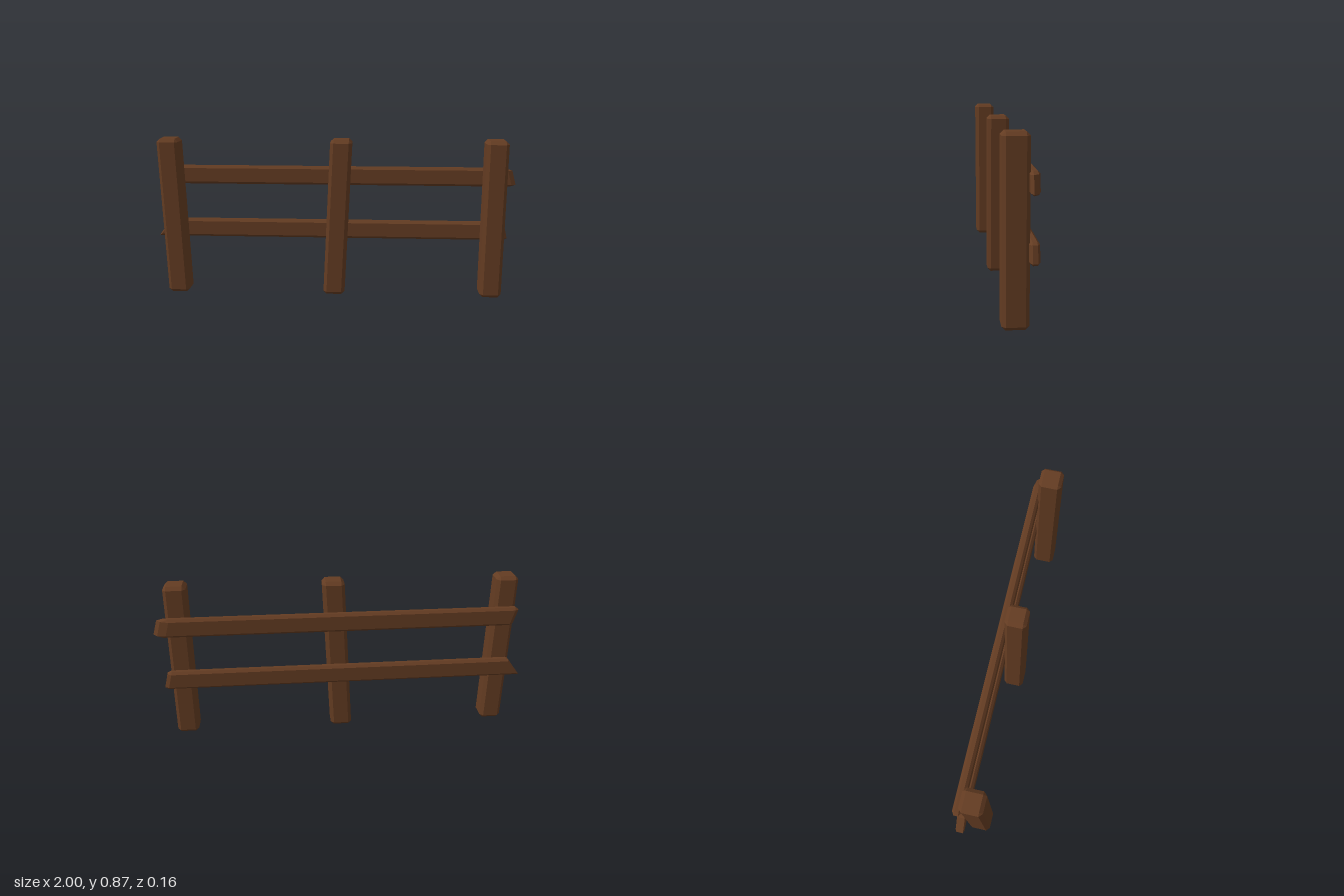
import * as THREE from 'three';

// Rectangle with cut corners, counter-clockwise, always eight points
function octagon(w, h, c) {
  const a = w / 2, b = h / 2;
  return [[a, -b + c], [a, b - c], [a - c, b], [-a + c, b],
    [-a, b - c], [-a, -b + c], [-a + c, -b], [a - c, -b]];
}

// Skin equal-length rings of Vector3 into a closed flat-shaded solid
function loft(rings) {
  const pos = [];
  const tri = (a, b, c) => {
    const area = b.clone().sub(a).cross(c.clone().sub(a)).length();
    if (area > 1e-8) for (const p of [a, b, c]) pos.push(p.x, p.y, p.z);
  };
  const n = rings[0].length, first = rings[0], last = rings[rings.length - 1];
  for (let r = 0; r < rings.length - 1; r++) {
    for (let i = 0; i < n; i++) {
      const j = (i + 1) % n, lo = rings[r], hi = rings[r + 1];
      tri(lo[i], lo[j], hi[j]);
      tri(lo[i], hi[j], hi[i]);
    }
  }
  for (let i = 1; i < n - 1; i++) {
    tri(first[0], first[i + 1], first[i]);
    tri(last[0], last[i], last[i + 1]);
  }
  const geo = new THREE.BufferGeometry();
  geo.setAttribute('position', new THREE.Float32BufferAttribute(pos, 3));
  geo.computeVertexNormals();
  return geo;
}

// Upright bevelled post leaning from x0 at the ground to x1 at the top
function postGeometry({ x0, x1, back, front, width = 0.118 }) {
  const H = 0.875, c = 0.018, depth = front - back, zc = (front + back) / 2;
  const ring = (y, inset, cut) => octagon(depth - 2 * inset, width - 2 * inset, cut)
    .map(([z, x]) => new THREE.Vector3(x0 + (x1 - x0) * y / H + x, y, zc + z));
  return loft([ring(0.003, c, 0), ring(0.003 + c, 0, c), ring(H - c, 0, c), ring(H, c, 0)]);
}

// Horizontal bevelled rail; each end is cut on a plane sloping by sy and sz
function railGeometry(y, left, right) {
  const h = 0.102, d = 0.047, zc = -0.0585, c = 0.013;
  const ring = (end, inset, cut, shift) => octagon(h - 2 * inset, d - 2 * inset, cut)
    .map(([v, z]) => new THREE.Vector3(end.x + shift + end.sy * v + end.sz * z, y + v, zc + z));
  return loft([
    ring(left, left.inset, 0, 0), ring(left, 0, c, left.bevel),
    ring(right, 0, c, -right.bevel), ring(right, right.inset, 0, 0),
  ]);
}

export function createModel() {
  const group = new THREE.Group();
  const wood = new THREE.MeshStandardMaterial({ color: 0x643c22, flatShading: true });
  wood.name = 'brown wood';
  const add = (name, geo) => {
    const mesh = new THREE.Mesh(geo, wood);
    mesh.name = name;
    group.add(mesh);
  };

  // Three slightly uneven posts
  add('rightPost', postGeometry({ x0: -0.875, x1: -0.898, back: -0.04, front: 0.077 }));
  add('middlePost', postGeometry({ x0: 0.002, x1: 0.042, back: -0.04, front: 0.074 }));
  add('leftPost', postGeometry({ x0: 0.872, x1: 0.87, back: -0.041, front: 0.083 }));

  // Two rails behind the posts with rough-cut ends
  add('upperRail', railGeometry(0.66,
    { x: -0.948, sy: -0.3, sz: 0, inset: 0.012, bevel: 0.02 },
    { x: 0.974, sy: -0.28, sz: 0.9, inset: 0.011, bevel: 0.035 }));
  add('lowerRail', railGeometry(0.354,
    { x: -0.967, sy: 0.72, sz: 0, inset: 0.005, bevel: 0.008 },
    { x: 0.956, sy: -0.25, sz: 0.1, inset: 0.012, bevel: 0.02 }));
  return group;
}
